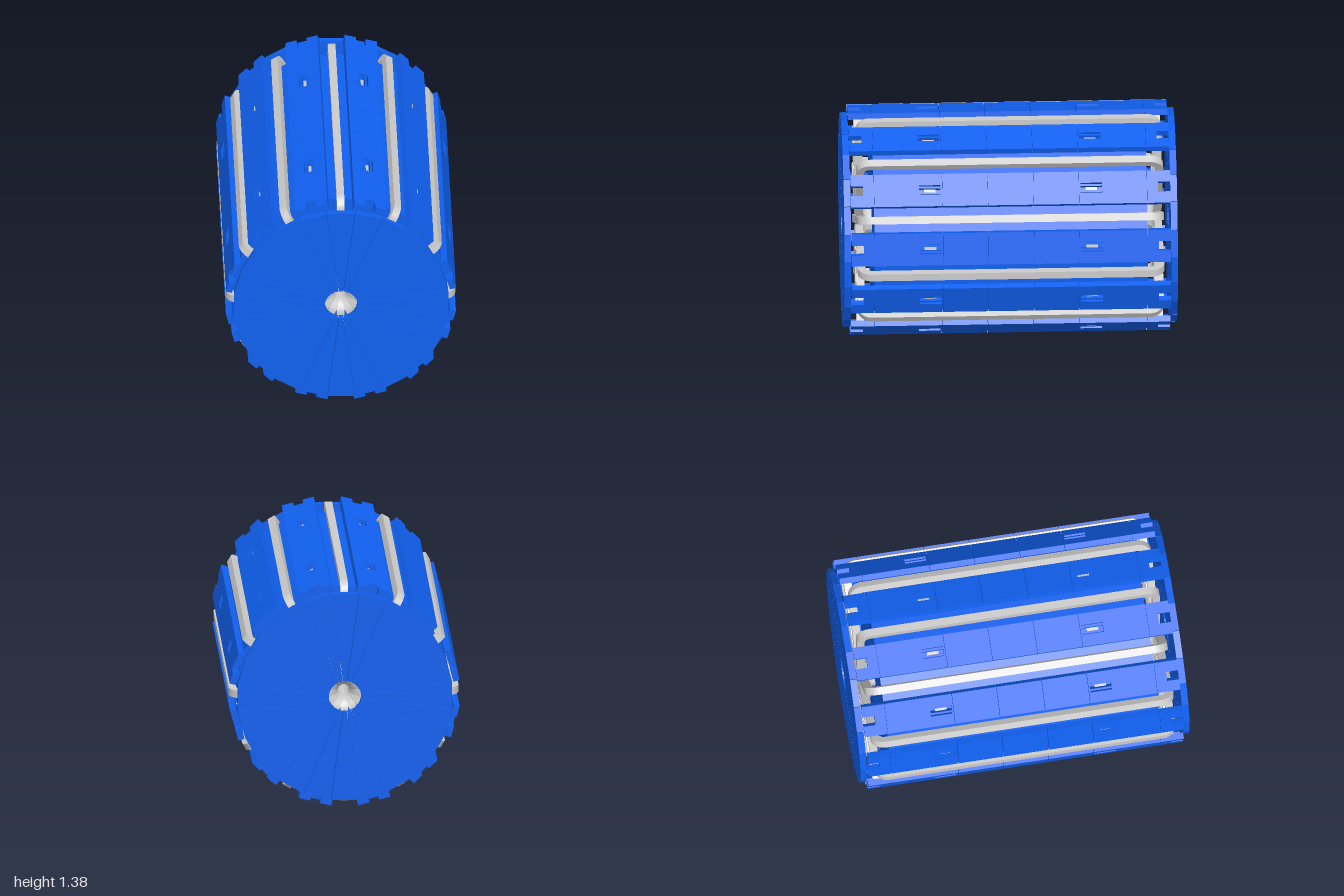
import * as THREE from 'three';
import { toCreasedNormals } from 'three/addons/utils/BufferGeometryUtils.js';

const BLUE = new THREE.MeshStandardMaterial({ color: 0x1060f0 });
const GREY = new THREE.MeshStandardMaterial({ color: 0xcccccc });
const V = (x, y, z) => new THREE.Vector3(x, y, z);

const AXIS_Y = 0.695;   // height of the cylinder axis
const SECTORS = 24;
const SEAM = 0.0015;    // half gap between neighbouring pieces

function polygon(points, ShapeType = THREE.Shape) {
  return new ShapeType(points.map(([x, y]) => new THREE.Vector2(x, y)));
}

function rect(x0, y0, x1, y1, ShapeType) {
  return polygon([[x0, y0], [x1, y0], [x1, y1], [x0, y1]], ShapeType);
}

function roundedRect(x0, y0, x1, y1, r, ShapeType = THREE.Shape) {
  const s = new ShapeType();
  s.absarc(x1 - r, y1 - r, r, 0, Math.PI / 2);
  s.absarc(x0 + r, y1 - r, r, Math.PI / 2, Math.PI);
  s.absarc(x0 + r, y0 + r, r, Math.PI, Math.PI * 1.5);
  s.absarc(x1 - r, y0 + r, r, Math.PI * 1.5, Math.PI * 2);
  s.closePath();
  return s;
}

function extrude(shape, depth, curveSegments = 8) {
  return new THREE.ExtrudeGeometry(shape, { depth, bevelEnabled: false, curveSegments });
}

// Wedge with a flat outer face, pointing along +x, extruded along z
function wedgeGeometry(inner, outer, z0, z1) {
  const t = Math.tan(Math.PI / SECTORS);
  const shape = polygon([
    [inner, -inner * t + SEAM], [outer, -outer * t + SEAM],
    [outer, outer * t - SEAM], [inner, inner * t - SEAM],
  ]);
  return extrude(shape, z1 - z0).translate(0, 0, z0);
}

// Plate drawn as (tangent, z), thickened outwards along the radius
function plateGeometry(shape, r0, r1) {
  const m = new THREE.Matrix4().makeBasis(V(0, 1, 0), V(0, 0, 1), V(1, 0, 0));
  return extrude(shape, r1 - r0).applyMatrix4(m).translate(r0, 0, 0);
}

// Racetrack loop drawn as (radius, z): inner leg by the axis, outer leg outside the body
function coilGeometry() {
  const w = 0.046;
  const shape = roundedRect(0.035, -0.92, 0.69, 0.92, 0.085);
  shape.holes.push(roundedRect(0.035 + w, -0.92 + w, 0.69 - w, 0.92 - w, 0.04, THREE.Path));
  const m = new THREE.Matrix4().makeBasis(V(1, 0, 0), V(0, 0, 1), V(0, -1, 0));
  const g = extrude(shape, w, 8).applyMatrix4(m).translate(0, w / 2, 0);
  return toCreasedNormals(g, 0.6);
}

// Repeats a set of named pieces around the axis
function ring(name, pieces, count, offset) {
  const group = new THREE.Group();
  group.name = name;
  for (let i = 0; i < count; i++) {
    const unit = new THREE.Group();
    unit.name = name + 'Unit';
    unit.rotation.z = offset + (i / count) * Math.PI * 2;
    for (const [partName, geometry, material] of pieces) {
      const mesh = new THREE.Mesh(geometry, material);
      mesh.name = partName;
      unit.add(mesh);
    }
    group.add(unit);
  }
  return group;
}

function panelPieces() {
  const half = 0.1, r0 = 0.65, r1 = 0.688;
  const pieces = [];
  // Plain middle plates
  for (const [a, b] of [[-0.41, -0.137], [-0.137, 0.137], [0.137, 0.41]]) {
    pieces.push(['middlePlate',
      plateGeometry(rect(-half, a + SEAM, half, b - SEAM), r0, r1), BLUE]);
  }
  for (const s of [-1, 1]) {
    // Plate with a slot
    const z0 = s > 0 ? 0.41 : -0.82, z1 = s > 0 ? 0.82 : -0.41;
    const slot0 = s > 0 ? 0.42 : -0.55;
    const slotted = rect(-half, z0 + SEAM, half, z1 - SEAM);
    slotted.holes.push(rect(-0.03, slot0, 0.03, slot0 + 0.13, THREE.Path));
    pieces.push(['slottedPlate', plateGeometry(slotted, r0, r1), BLUE]);
    // Ribs and a pin set inside the slot
    for (const t of [-0.019, 0.019]) {
      pieces.push(['slotRib',
        plateGeometry(rect(t - 0.006, slot0, t + 0.006, slot0 + 0.13), 0.642, 0.678), BLUE]);
    }
    pieces.push(['slotPin',
      plateGeometry(rect(-0.009, slot0 + 0.03, 0.009, slot0 + 0.1), 0.642, 0.665), GREY]);
    // Notched end plate
    const end = [
      [-half, 0.82], [half, 0.82], [half, 0.958], [0.03, 0.958],
      [0.03, 0.885], [-0.03, 0.885], [-0.03, 0.958], [-half, 0.958],
    ].map(([t, z]) => [t * s, z * s]);
    pieces.push(['endPlate', plateGeometry(polygon(end), r0, r1), BLUE]);
  }
  return pieces;
}

export function createModel() {
  const model = new THREE.Group();
  model.name = 'coilCylinder';
  model.position.y = AXIS_Y;

  // Solid core and the two end discs, all cut into equal sectors
  model.add(ring('core', [['coreWedge', wedgeGeometry(0.097, 0.637, -0.82, 0.82), BLUE]], SECTORS, 0));
  model.add(ring('endDiscs', [
    ['frontDiscWedge', wedgeGeometry(0.097, 0.643, 0.96, 1), BLUE],
    ['backDiscWedge', wedgeGeometry(0.097, 0.643, -1, -0.96), BLUE],
  ], SECTORS, 0));

  // Twelve loops around the core, with a panel between each pair
  model.add(ring('coils', [['coil', coilGeometry(), GREY]], 12, 0));
  model.add(ring('panels', panelPieces(), 12, Math.PI / 12));

  const root = new THREE.Group();
  root.name = 'model';
  root.add(model);
  return root;
}
